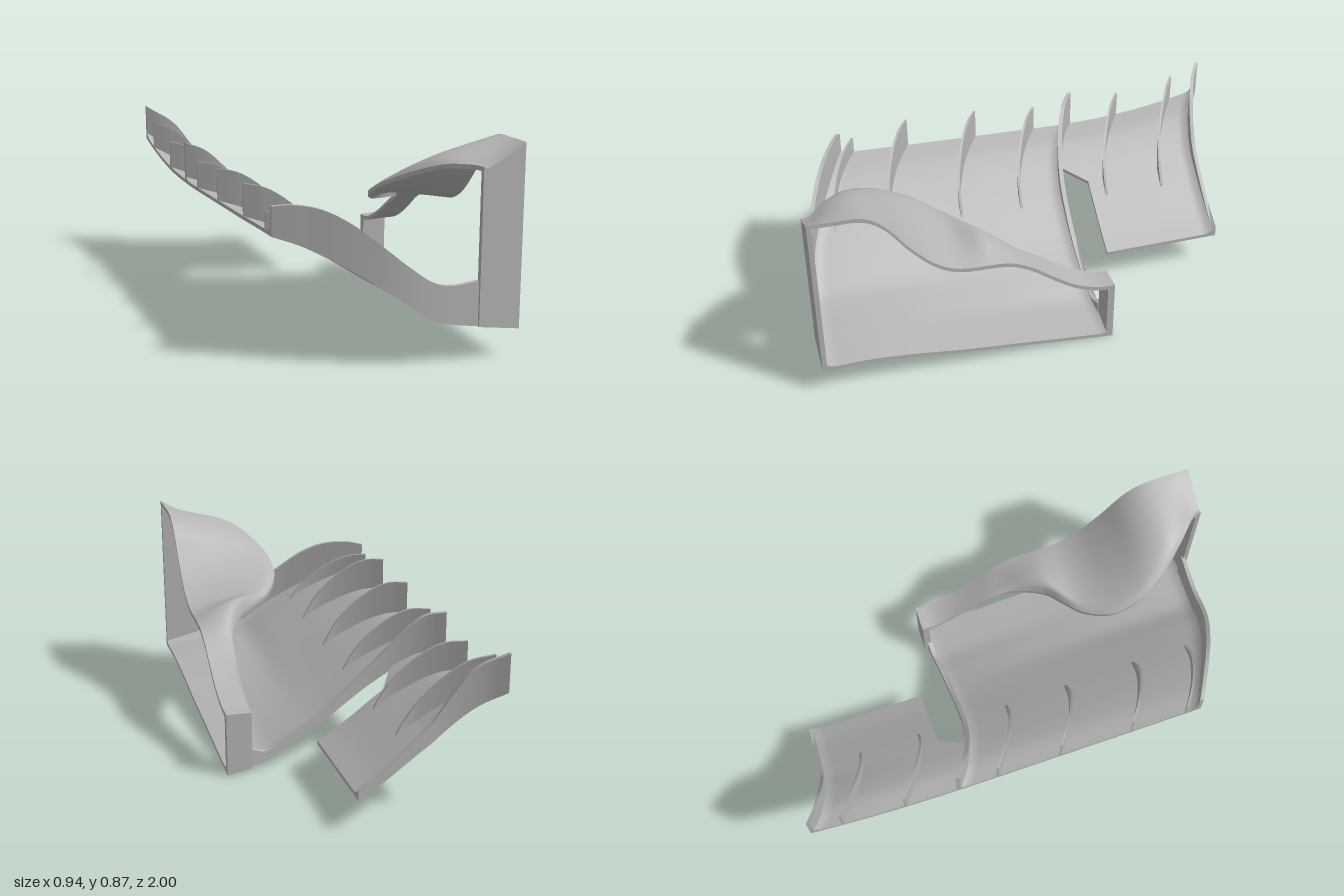
import * as THREE from 'three';

const V = (x, y, z) => new THREE.Vector3(x, y, z);
const lerp = THREE.MathUtils.lerp;
const clamp = THREE.MathUtils.clamp;

// Smooth interpolation through [input, value] pairs in ascending order
function curve(pts) {
  const n = pts.length - 1;
  const slope = (i) => {
    const a = pts[Math.max(i - 1, 0)], b = pts[Math.min(i + 1, n)];
    return (b[1] - a[1]) / (b[0] - a[0]);
  };
  return (t) => {
    t = clamp(t, pts[0][0], pts[n][0]);
    let i = 0;
    while (i < n - 1 && t > pts[i + 1][0]) i++;
    const h = pts[i + 1][0] - pts[i][0], s = (t - pts[i][0]) / h;
    const s2 = s * s, s3 = s2 * s;
    return pts[i][1] * (2 * s3 - 3 * s2 + 1) + slope(i) * h * (s3 - 2 * s2 + s)
      + pts[i + 1][1] * (3 * s2 - 2 * s3) + slope(i + 1) * h * (s3 - s2);
  };
}

// Closed thin solid between two surfaces, with sharp rims
function solid(a, b, nu, nv) {
  const pos = [], idx = [];
  const patch = (f, mu, mv) => {
    const base = pos.length / 3;
    for (let i = 0; i <= mu; i++) {
      for (let j = 0; j <= mv; j++) pos.push(...f(i / mu, j / mv).toArray());
    }
    for (let i = 0; i < mu; i++) {
      for (let j = 0; j < mv; j++) {
        const p = base + i * (mv + 1) + j, q = p + mv + 1;
        idx.push(p, q, q + 1, p, q + 1, p + 1);
      }
    }
  };
  const rim = (f, t, s) => f(s).lerp ? a(...t).lerp(b(...t), s) : null;
  const mix = (u, v, s) => a(u, v).lerp(b(u, v), s);
  patch(a, nu, nv);
  patch((u, v) => b(1 - u, v), nu, nv);
  patch((u, s) => mix(u, 0, 1 - s), nu, 1);
  patch((u, s) => mix(u, 1, s), nu, 1);
  patch((s, v) => mix(0, v, 1 - s), 1, nv);
  patch((s, v) => mix(1, v, s), 1, nv);

  // Make all faces point outwards
  const P = (k) => V(pos[3 * k], pos[3 * k + 1], pos[3 * k + 2]);
  let volume = 0;
  for (let k = 0; k < idx.length; k += 3) {
    volume += P(idx[k]).dot(P(idx[k + 1]).cross(P(idx[k + 2])));
  }
  if (volume < 0) idx.reverse();
  const g = new THREE.BufferGeometry();
  g.setAttribute('position', new THREE.Float32BufferAttribute(pos, 3));
  g.setIndex(idx);
  g.computeVertexNormals();
  return g;
}

export function createModel() {
  const group = new THREE.Group();
  const grey = new THREE.MeshStandardMaterial({ color: 0xb4b4b4 });
  grey.name = 'grey';
  const add = (name, geometry) => {
    const mesh = new THREE.Mesh(geometry, grey);
    mesh.name = name;
    group.add(mesh);
  };

  // Plan edges of the floor, as z for a given x
  const frontZ = curve([[-0.47, 0.735], [-0.35, 0.8], [-0.2, 0.88], [-0.05, 0.945], [0.1, 0.975], [0.29, 0.99], [0.47, 1]]);
  const middleZ = curve([[-0.47, -0.37], [-0.4, -0.32], [-0.3, -0.275], [-0.2, -0.25], [-0.1, -0.24], [0.1, -0.24], [0.35, -0.255], [0.47, -0.27]]);
  const rearZ = curve([[-0.47, -1], [-0.4, -0.955], [-0.3, -0.918], [-0.2, -0.903], [0.1, -0.9]]);

  // Floor underside: front and back profiles blended along z
  const frontY = curve([[-0.47, 0.53], [-0.36, 0.49], [-0.2, 0.4], [0, 0.265], [0.1, 0.195], [0.18, 0.17], [0.28, 0.152], [0.47, 0.12]]);
  const backY = curve([[-0.47, 0.49], [-0.36, 0.455], [-0.2, 0.35], [0, 0.205], [0.1, 0.143], [0.2, 0.085], [0.28, 0.04], [0.36, 0.02], [0.47, 0]]);
  const blend = curve([[-0.27, 0], [-0.1, 0.14], [0.1, 0.33], [0.4, 0.6], [0.6, 0.84], [0.8, 1], [1, 1]]);
  const floorY = (x, z) => lerp(backY(x), frontY(x), blend(z))
    + 0.08 * Math.max(0, (-z - 0.4) / 0.6) ** 2 * clamp((-0.2 - x) / 0.27, 0, 1);
  const thick = 0.016;

  const floor = (name, x0, x1, zA, zB, fillet) => {
    const at = (lift) => (u, v) => {
      const x = lerp(x0, x1, u), a = zA(x), b = zB(x), z = lerp(a, b, v);
      const d = Math.min(z - a, fillet ? b - z : 1);
      const round = lift ? 0.03 * Math.max(0, 1 - d / 0.06) ** 2 : 0;
      return V(x, floorY(x, z) + lift + round, z);
    };
    add(name, solid(at(thick), at(0), 57, 64));
  };
  floor('mainFloor', -0.47, 0.47, middleZ, frontZ, true);
  const notchZ = (x) => x < -0.26 ? middleZ(x) : lerp(middleZ(-0.26), -0.37, clamp((x + 0.26) / 0.07, 0, 1));
  floor('rearFloor', -0.47, 0.1, rearZ, notchZ, false);

  // Curved upright walls following the floor edges
  const wall = (name, x0, x1, zOf, topOf, dz) => {
    const at = (off) => (u, v) => {
      const x = lerp(x0, x1, u), z = zOf(x), y = floorY(x, z);
      return V(x, lerp(y, topOf(x, y), v), z + off);
    };
    add(name, solid(at(0), at(dz), 40, 6));
  };
  const frontTop = curve([[-0.47, 0.648], [-0.4, 0.656], [-0.3, 0.64], [-0.2, 0.587], [-0.1, 0.505], [0, 0.42], [0.1, 0.347], [0.18, 0.327], [0.29, 0.336]]);
  wall('frontWall', -0.47, 0.3, frontZ, frontTop, -0.018);
  const middleH = curve([[-0.47, 0.185], [-0.4, 0.18], [-0.3, 0.135], [-0.18, 0.085], [-0.05, 0.06], [0.1, 0.04], [0.28, 0.04], [0.36, 0.08]]);
  wall('middleWall', -0.47, 0.36, middleZ, (x, y) => y + middleH(x), 0.02);
  const rearH = curve([[-0.47, 0.162], [-0.35, 0.165], [-0.28, 0.13], [-0.2, 0.085], [0, 0.045], [0.1, 0.03]]);
  wall('rearWall', -0.47, 0.1, rearZ, (x, y) => y + rearH(x), 0.016);

  // Row of curved strakes: [z at the outer edge, top height there]
  const sweep = curve([[-0.47, 0], [-0.4, 0.05], [-0.3, 0.107], [-0.2, 0.145], [-0.12, 0.155]]);
  const taper = curve([[-0.47, 0.95], [-0.4, 1], [-0.3, 0.88], [-0.2, 0.6], [-0.14, 0.27], [-0.12, 0.1]]);
  for (const [z0, top] of [[-0.87, 0.685], [-0.6, 0.64], [-0.19, 0.635], [0.09, 0.665], [0.41, 0.675], [0.66, 0.62]]) {
    const height = top - floorY(-0.47, z0);
    wall('strake', -0.47, -0.12, (x) => z0 + sweep(x), (x, y) => y + height * taper(x), 0.011);
  }

  // Twisted canopy between an inner and an outer edge
  const innerX = curve([[-0.27, 0.36], [-0.1, 0.358], [0.05, 0.35], [0.15, 0.33], [0.28, 0.255], [0.34, 0.18], [0.4, 0.105], [0.5, 0.04], [0.58, 0.03], [0.66, 0.045], [0.77, 0.105], [0.88, 0.2], [0.96, 0.28], [1, 0.29]]);
  const innerY = curve([[-0.27, 0.28], [-0.2, 0.287], [-0.1, 0.335], [0.05, 0.43], [0.15, 0.48], [0.28, 0.525], [0.4, 0.56], [0.5, 0.605], [0.62, 0.665], [0.77, 0.74], [0.88, 0.785], [1, 0.79]]);
  const outerY = curve([[-0.27, 0.285], [-0.2, 0.29], [-0.1, 0.325], [0, 0.39], [0.1, 0.465], [0.2, 0.51], [0.4, 0.528], [0.5, 0.575], [0.6, 0.675], [0.7, 0.805], [0.78, 0.86], [0.9, 0.87], [1, 0.872]]);
  const bulge = curve([[-0.27, 0], [0.1, 0.005], [0.28, 0.055], [0.4, 0.025], [0.6, 0.02], [0.8, 0.025], [0.92, 0], [1, -0.015]]);
  const canopy = (drop) => (u, v) => {
    const z = lerp(-0.27, 1, v);
    const y = lerp(innerY(z), outerY(z), u) + bulge(z) * Math.sin(Math.PI * Math.sqrt(u));
    return V(lerp(innerX(z), 0.47, u), y - drop, z);
  };
  add('canopy', solid(canopy(0), canopy(0.018), 20, 80));

  // Upright plates carrying the canopy at both ends
  const post = (name, xA, zA, zB, v0) => {
    const at = (z) => (u, v) => {
      const x = lerp(xA, 0.47, u);
      return V(x, lerp(floorY(x, z), canopy(0.006)(u, v0).y, v), z);
    };
    add(name, solid(at(zA), at(zB), 12, 1));
  };
  post('frontPost', 0.29, 1, 0.98, 1);
  post('rearPost', 0.36, -0.27, -0.24, 0);

  return group;
}
